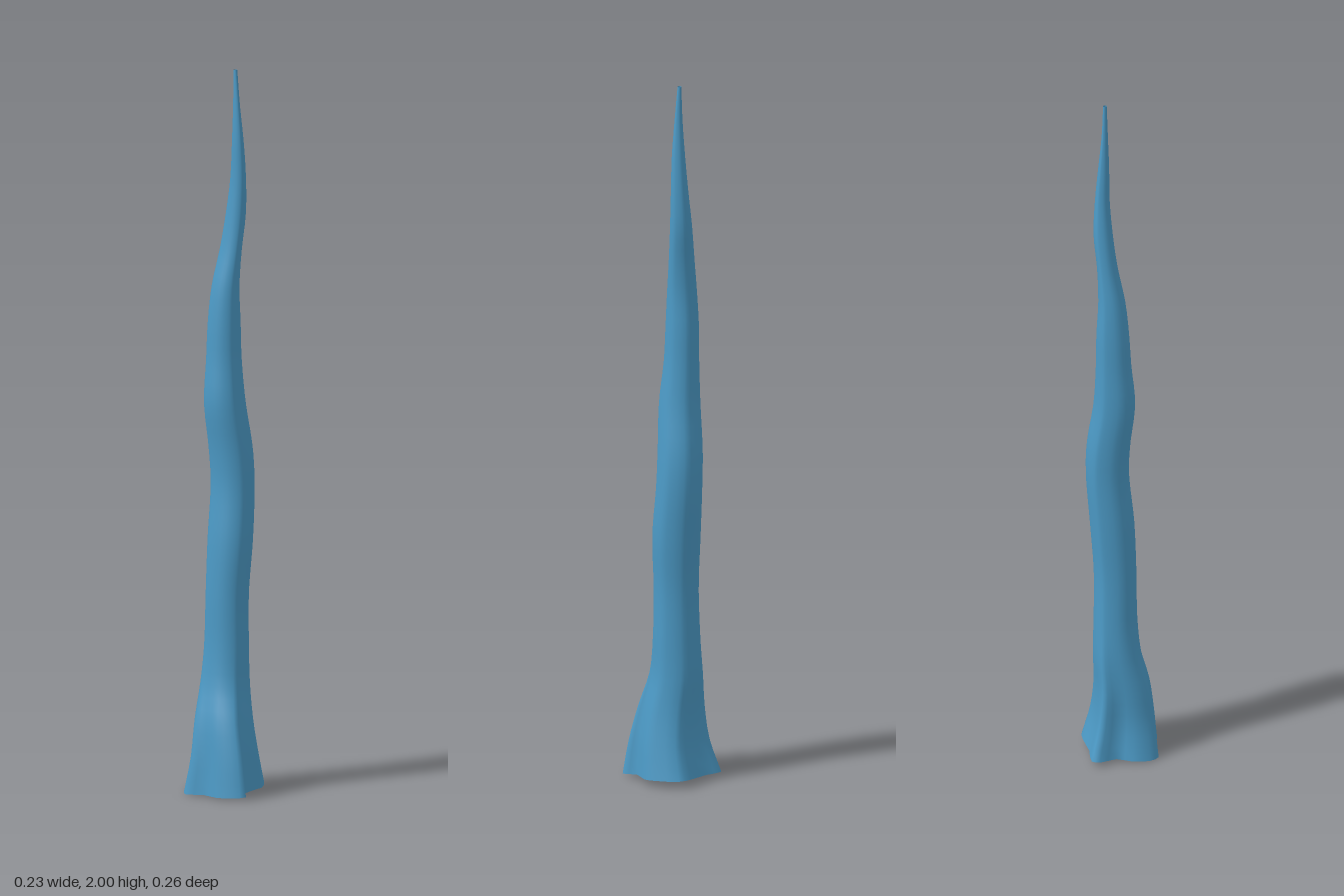
import * as THREE from 'three';

const SIDES = 32, ROWS = 60;

// Lobed root outline (x, z), counter-clockwise from above
const rootOutline = new THREE.CatmullRomCurve3([
  [0.042, -0.13], [0.02, -0.126], [-0.015, -0.088], [-0.06, -0.08],
  [-0.1, -0.055], [-0.115, -0.026], [-0.088, 0.015], [-0.081, 0.067],
  [-0.056, 0.108], [-0.026, 0.128], [-0.003, 0.094], [0.055, 0.088],
  [0.081, 0.065], [0.113, 0.005], [0.1, -0.03], [0.065, -0.08],
].map(([x, z]) => new THREE.Vector3(x, 0, z)), true);

// Trunk stations: height, then min x, max x, min z, max z
const stations = [
  [0, -0.115, 0.113, -0.13, 0.13],
  [0.1, -0.1, 0.09, -0.1, 0.113],
  [0.2, -0.085, 0.077, -0.088, 0.088],
  [0.3, -0.06, 0.075, -0.082, 0.06],
  [0.4, -0.048, 0.072, -0.075, 0.052],
  [0.55, -0.045, 0.072, -0.07, 0.05],
  [0.7, -0.038, 0.083, -0.073, 0.056],
  [0.85, -0.025, 0.093, -0.075, 0.048],
  [0.95, -0.03, 0.09, -0.077, 0.043],
  [1.08, -0.045, 0.07, -0.075, 0.035],
  [1.2, -0.036, 0.062, -0.072, 0.022],
  [1.3, -0.03, 0.06, -0.071, 0.018],
  [1.4, -0.018, 0.055, -0.065, 0.015],
  [1.5, 0.005, 0.06, -0.055, 0.014],
  [1.6, 0.02, 0.072, -0.045, 0.014],
  [1.7, 0.03, 0.07, -0.034, 0.013],
  [1.8, 0.032, 0.062, -0.026, 0.01],
  [1.9, 0.035, 0.052, -0.02, 0.002],
  [2, 0.037, 0.047, -0.017, -0.007],
];

// Smoothly interpolated [minX, maxX, minZ, maxZ] at a height
function extentsAt(y) {
  let k = 0;
  while (k < stations.length - 2 && stations[k + 1][0] < y) k++;
  const at = (i) => stations[THREE.MathUtils.clamp(i, 0, stations.length - 1)];
  const [a, b, c, d] = [at(k - 1), at(k), at(k + 1), at(k + 2)];
  const h = c[0] - b[0], t = (y - b[0]) / h;
  return [1, 2, 3, 4].map((i) => {
    const m0 = (c[i] - a[i]) / (c[0] - a[0]) * h, m1 = (d[i] - b[i]) / (d[0] - b[0]) * h;
    return (2 * t ** 3 - 3 * t * t + 1) * b[i] + (t ** 3 - 2 * t * t + t) * m0
      + (3 * t * t - 2 * t ** 3) * c[i] + (t ** 3 - t * t) * m1;
  });
}

// One ring: the root outline fades to a round section, fitted to the extents
function ringAt(y) {
  const [x0, x1, z0, z1] = extentsAt(y);
  const lobes = 0.12 + 0.88 * (1 - THREE.MathUtils.smoothstep(y, 0, 0.42));
  const ring = [];
  for (let i = 0; i < SIDES; i++) {
    const p = rootOutline.getPoint(i / SIDES), angle = Math.atan2(p.z, p.x);
    const round = new THREE.Vector3(Math.cos(angle), 0, Math.sin(angle)).multiplyScalar(0.115);
    ring.push(round.lerp(p, lobes));
  }
  const box = new THREE.Box3().setFromPoints(ring);
  for (const p of ring) {
    p.x = THREE.MathUtils.mapLinear(p.x, box.min.x, box.max.x, x0, x1);
    p.z = THREE.MathUtils.mapLinear(p.z, box.min.z, box.max.z, z0, z1);
    // slanted open hem at the bottom
    p.y = y + (0.012 + 0.1 * p.x) * Math.max(0, 1 - y / 0.3);
  }
  return ring;
}

export function createModel() {
  const positions = [], indices = [];
  for (let j = 0; j <= ROWS; j++) {
    for (const p of ringAt(2 * j / ROWS)) positions.push(p.x, p.y, p.z);
    if (j === ROWS) break;
    for (let i = 0; i < SIDES; i++) {
      const a = j * SIDES + i, b = j * SIDES + (i + 1) % SIDES;
      indices.push(a, b, a + SIDES, b, b + SIDES, a + SIDES);
    }
  }
  const geometry = new THREE.BufferGeometry();
  geometry.setAttribute('position', new THREE.Float32BufferAttribute(positions, 3));
  geometry.setIndex(indices);
  geometry.computeVertexNormals();

  // Hollow tapering trunk, open at the root and the tip
  const trunk = new THREE.Mesh(geometry,
    new THREE.MeshStandardMaterial({ color: 0x4c9ac6, side: THREE.DoubleSide }));
  trunk.name = 'trunk';
  const model = new THREE.Group();
  model.name = 'taperedTrunk';
  model.add(trunk);
  return model;
}
